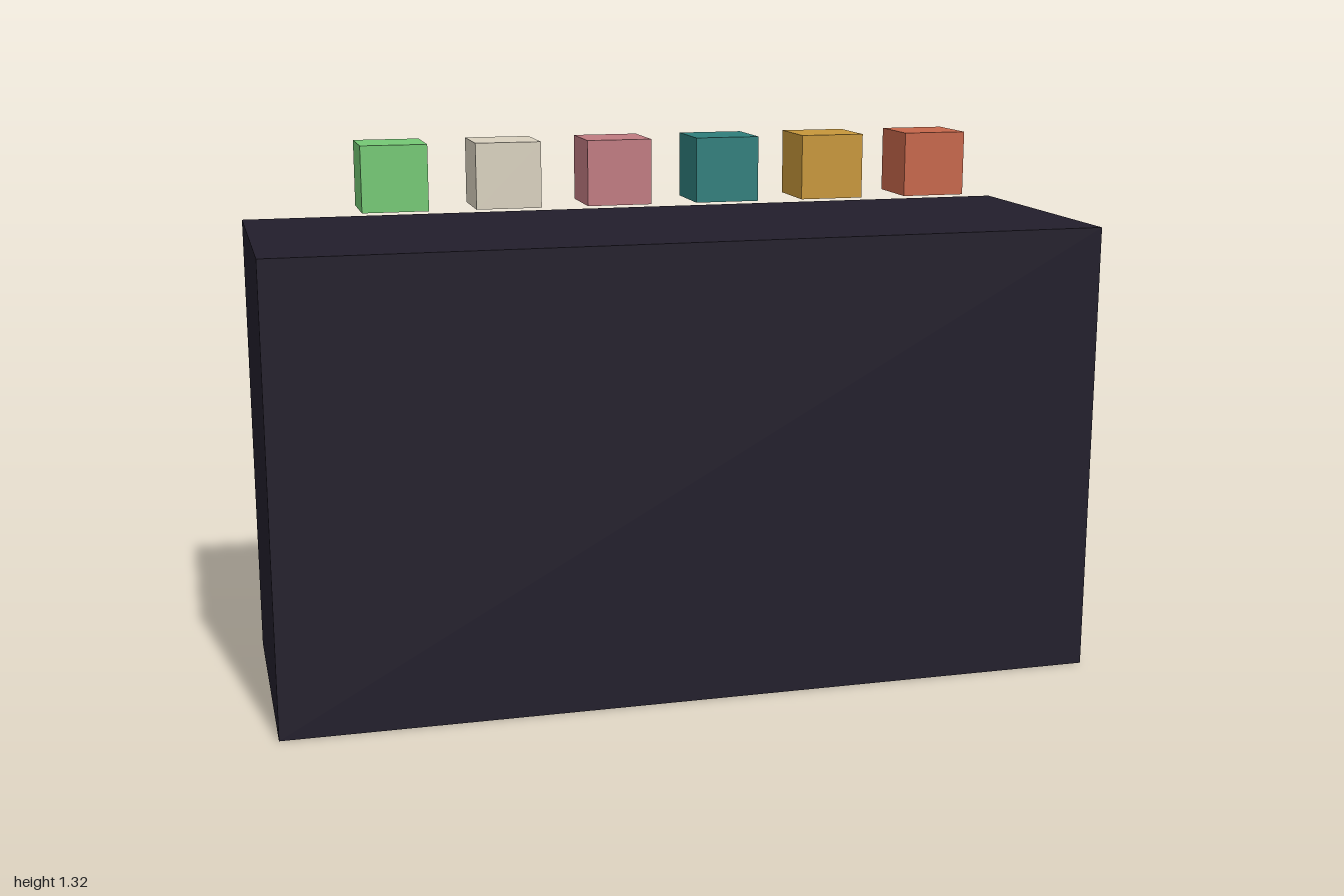
import * as THREE from 'three';

function box(name, width, height, depth, color) {
  const mesh = new THREE.Mesh(
    new THREE.BoxGeometry(width, height, depth),
    new THREE.MeshStandardMaterial({ color })
  );
  mesh.name = name;
  return mesh;
}

export function createModel() {
  const model = new THREE.Group();
  model.name = 'cubesOverBlock';

  // Large dark block standing on the ground
  const blockHeight = 1.111;
  const block = box('block', 2, blockHeight, 0.667, 0x221e2b);
  block.position.y = blockHeight / 2;
  model.add(block);

  // Row of coloured cubes floating just above the block
  const cubes = new THREE.Group();
  cubes.name = 'cubeRow';
  const cubeColors = {
    greenCube: 0x74c774,
    creamCube: 0xd8d0be,
    pinkCube: 0xbf7a80,
    tealCube: 0x2f7e7b,
    goldCube: 0xc6963a,
    orangeCube: 0xc5664a,
  };
  const size = 0.155;
  const spacing = 0.2667;
  Object.entries(cubeColors).forEach(([name, color], i) => {
    const cube = box(name, size, size, size, color);
    cube.position.set((i - 2.5) * spacing, 1.247, 0);
    cubes.add(cube);
  });
  model.add(cubes);

  return model;
}
